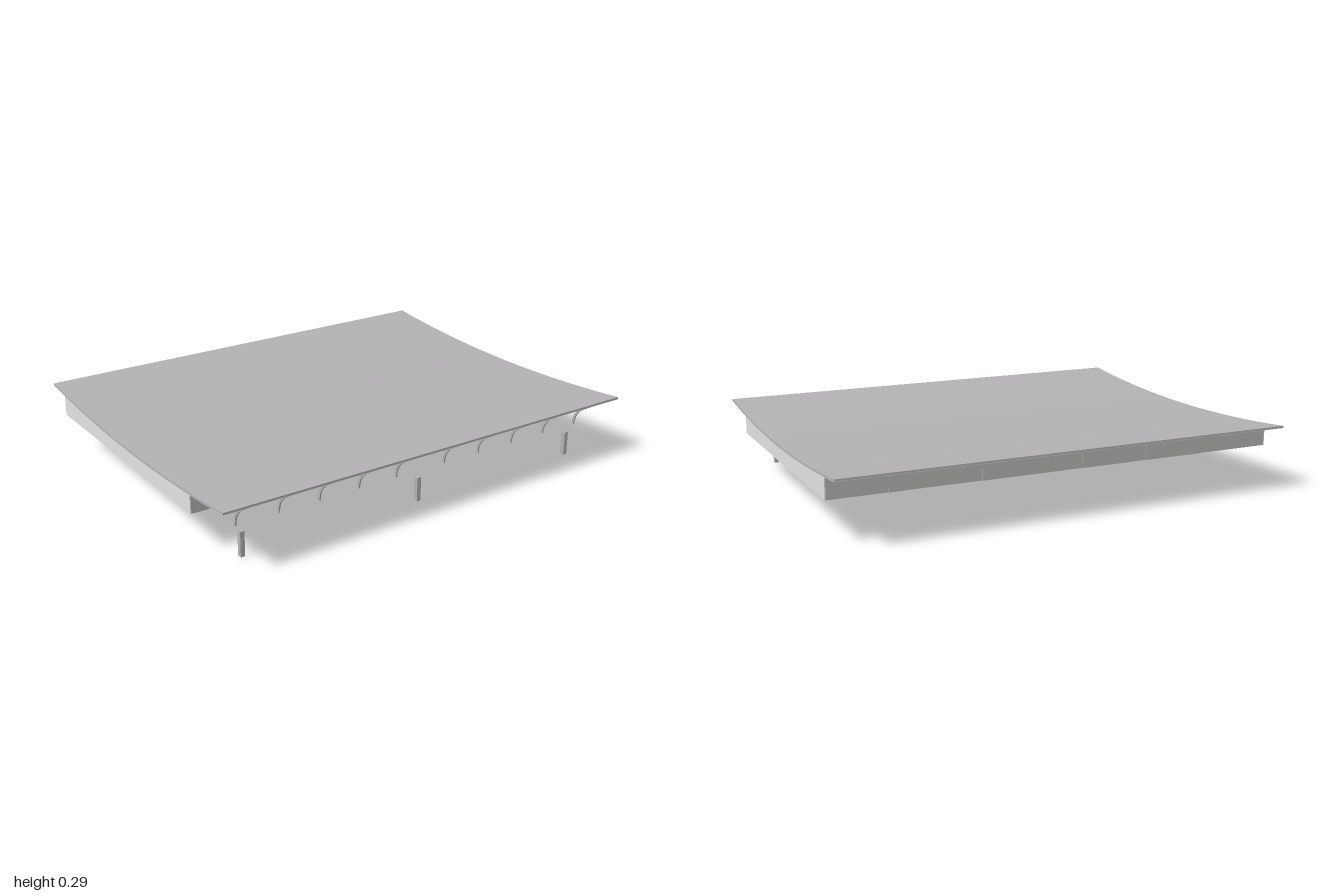
import * as THREE from 'three';

const mat = (name, color) => {
  const m = new THREE.MeshStandardMaterial({ color });
  m.name = name;
  return m;
};

// Underside height of the sagging roof at depth z
const roofY = z => 0.237 + 0.043 * (z / 0.785) ** 2;

// Extrude a (z, y) profile along x, centred on the given x
function extrudeX(shape, width, x, material, name) {
  const geo = new THREE.ExtrudeGeometry(shape, { depth: width, bevelEnabled: false, curveSegments: 12 });
  geo.translate(0, 0, -width / 2);
  geo.rotateY(-Math.PI / 2); // profile x becomes z
  geo.translate(x, 0, 0);
  const mesh = new THREE.Mesh(geo, material);
  mesh.name = name;
  return mesh;
}

// Points along the roof curve from z0 to z1
function roofCurve(z0, z1, lift, n = 24) {
  return Array.from({ length: n + 1 }, (_, i) => {
    const z = z0 + (z1 - z0) * i / n;
    return new THREE.Vector2(z, roofY(z) + lift);
  });
}

// Layer of the roof between two heights above its underside
const roofLayer = (low, high) =>
  new THREE.Shape([...roofCurve(-0.785, 0.785, low), ...roofCurve(0.785, -0.785, high)]);

export function createModel() {
  const group = new THREE.Group();
  const roofMat = mat('roof grey', 0xb4b2b4);
  const ceilingMat = mat('ceiling light grey', 0xd4d4d6);
  const sideMat = mat('light side wall', 0xe3e3e3);
  const wallMat = mat('end wall grey', 0xb5b5b4);
  const steelMat = mat('steel grey', 0xb4b4b4);
  const front = 0.53, back = -0.66, base = 0.178;

  // Curved roof slab with a lighter ceiling skin beneath
  group.add(extrudeX(roofLayer(0.002, 0.01), 2, 0, roofMat, 'roof'));
  group.add(extrudeX(roofLayer(0, 0.002), 2, 0, ceilingMat, 'ceiling'));

  // Side walls with tops following the roof
  const side = new THREE.Shape([
    new THREE.Vector2(back, base), new THREE.Vector2(front, base), ...roofCurve(front, back, 0),
  ]);
  for (const s of [-1, 1]) group.add(extrudeX(side, 0.004, s * 0.998, sideMat, s > 0 ? 'leftWall' : 'rightWall'));

  // Front and back walls, with thin panels on the faces turned to the back
  const walls = [
    ['frontWall', front - 0.002, [[0.9, 0.68], [0.45, 0.31], [0.06, -0.02], [-0.18, -0.29], [-0.38, -0.57], [-0.82, -0.91]]],
    ['backWall', back + 0.002, [[0.75, 0.68], [0.36, 0.0], [-0.085, -0.32], [-0.39, -0.66]]],
  ];
  for (const [name, z, panels] of walls) {
    const h = roofY(z) - base;
    const wall = new THREE.Mesh(new THREE.BoxGeometry(1.992, h, 0.004), wallMat);
    wall.position.set(0, base + h / 2, z);
    wall.name = name;
    group.add(wall);
    for (const [x1, x0] of panels) {
      const panel = new THREE.Mesh(new THREE.BoxGeometry(x1 - x0, h, 0.003), wallMat);
      panel.position.set((x0 + x1) / 2, base + h / 2, z - 0.0035);
      panel.name = 'wallPanel';
      group.add(panel);
    }
  }

  // Curved brackets under the front eave
  const arm = new THREE.Shape();
  arm.moveTo(0.78, 0.281);
  arm.lineTo(0.725, 0.274);
  arm.lineTo(0.729, 0.247);
  arm.lineTo(0.69, 0.221);
  arm.quadraticCurveTo(0.652, 0.193, 0.652, 0.145);
  arm.lineTo(0.64, 0.145);
  arm.quadraticCurveTo(0.642, 0.2, 0.68, 0.226);
  arm.lineTo(0.718, 0.25);
  arm.lineTo(0.718, 0.275);
  arm.lineTo(0.78, 0.283);
  arm.closePath();
  // Solid gusset between arm and roof
  const gusset = new THREE.Shape([
    new THREE.Vector2(0.78, 0.281), new THREE.Vector2(0.725, 0.274), new THREE.Vector2(0.729, 0.247),
  ]);
  for (const d of [0.125, 0.31, 0.498, 0.685, 0.876]) {
    for (const s of [-1, 1]) {
      const bracket = new THREE.Group();
      bracket.name = 'eaveBracket';
      bracket.add(extrudeX(arm, 0.006, s * d, steelMat, 'bracketArm'));
      bracket.add(extrudeX(gusset, 0.006, s * d, steelMat, 'bracketGusset'));
      group.add(bracket);
    }
  }

  // Free-standing front posts
  for (const x of [-0.845, 0, 0.842]) {
    const post = new THREE.Mesh(new THREE.BoxGeometry(0.019, 0.108, 0.021), steelMat);
    post.position.set(x, 0.054, 0.633);
    post.name = 'post';
    group.add(post);
  }
  return group;
}
